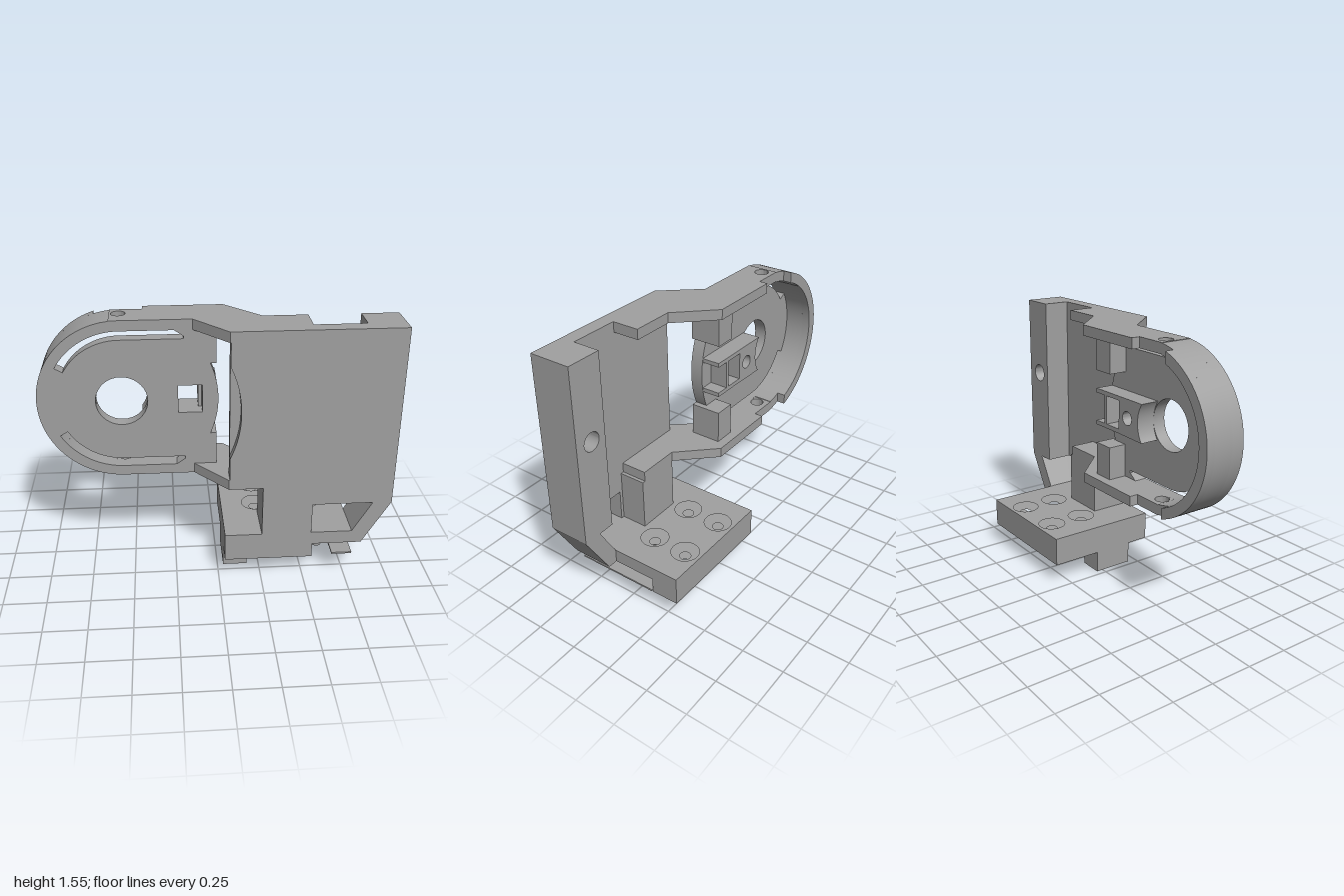
import * as THREE from 'three';
import { toCreasedNormals } from 'three/addons/utils/BufferGeometryUtils.js';

const CX = -0.53, CY = 1.08; // centre of the round head

export function createModel() {
  const model = new THREE.Group();
  const grey = new THREE.MeshStandardMaterial({ color: 0xa0a0a0 });
  grey.name = 'plain grey';

  const add = (name, geo) => {
    const mesh = new THREE.Mesh(geo, grey);
    mesh.name = name;
    model.add(mesh);
    return mesh;
  };
  const toShape = (pts) => new THREE.Shape(pts.map(([x, y]) => new THREE.Vector2(x, y)));
  const arc = (x, y, r, a0, a1, n = 40) => Array.from({ length: n + 1 }, (_, i) => {
    const a = a0 + (a1 - a0) * i / n;
    return [x + r * Math.cos(a), y + r * Math.sin(a)];
  });
  const circle = (x, y, r) => arc(x, y, r, 0, Math.PI * 2, 36).slice(0, -1);
  const extrude = (pts, depth, holes) => {
    const shape = toShape(pts);
    shape.holes = holes.map(toShape);
    return new THREE.ExtrudeGeometry(shape, { depth, bevelEnabled: false });
  };
  // outline in x,y pushed from z0 to z1
  const plate = (name, pts, z0, z1, holes = []) =>
    add(name, toCreasedNormals(extrude(pts, z1 - z0, holes).translate(0, 0, z0), 0.5));
  // outline in x,z pushed from y0 to y1
  const slab = (name, pts, y0, y1, holes = []) => {
    const flip = (list) => list.map(([x, z]) => [x, -z]);
    const geo = extrude(flip(pts), y1 - y0, holes.map(flip));
    return add(name, toCreasedNormals(geo.rotateX(-Math.PI / 2).translate(0, y0, 0), 0.5));
  };
  const box = (name, x0, x1, y0, y1, z0, z1) => add(name,
    new THREE.BoxGeometry(x1 - x0, y1 - y0, z1 - z0)
      .translate((x0 + x1) / 2, (y0 + y1) / 2, (z0 + z1) / 2));
  const rect = (x0, x1, y0, y1) => [[x0, y0], [x1, y0], [x1, y1], [x0, y1]];
  const mirrorY = (pts) => pts.map(([x, y]) => [x, 2 * CY - y]);
  const P = Math.PI;

  // round head: floor with bore, window and two curved slots
  const slot = [[-0.23, 1.49], ...arc(CX, CY, 0.41, P / 2, P * 5 / 6),
    ...arc(CX, CY, 0.36, P * 5 / 6, P / 2), [-0.18, 1.44], [-0.18, 1.455]];
  plate('headFloor', [[0, 0.61], [0, 0.865], ...arc(CX, CY, 0.54, -0.409, 0.409), [0, 1.295],
    [0, 1.55], ...arc(CX, CY, 0.47, P / 2, P * 1.5, 64)], 0.045, 0.12,
  [slot, mirrorY(slot), circle(CX, CY, 0.145), rect(-0.215, -0.08, 1.0, 1.165)]);

  // curved wall of the head, with a taller rim at the far end
  const wall = (name, x, z0, z1) => {
    const a = Math.acos((x - CX) / 0.47), b = Math.acos((x - CX) / 0.41);
    plate(name, [...arc(CX, CY, 0.47, a, 2 * P - a, 64), ...arc(CX, CY, 0.41, 2 * P - b, b, 64)], z0, z1);
  };
  wall('headWall', -0.58, -0.07, 0.045);
  wall('headRim', -0.67, -0.12, -0.07);

  // top and bottom flanges joining the head to the upright
  const flange = [[-0.58, 0.12], [-0.13, 0.12], [0.055, 0.335], [0.06, 0.335], [0.06, 0.25], [0.5, 0.25],
    [0.5, 0.09], [0.25, 0.09], [0.05, -0.12], [-0.4, -0.12], [-0.4, -0.07], [-0.58, -0.07]];
  for (const [name, y0, y1] of [['topFlange', 1.49, 1.55], ['bottomFlange', 0.61, 0.67]])
    slab(name, flange, y0, y1, [circle(CX, 0, 0.04)]);

  // inner blocks and the small channel behind the window
  box('upperBlock', -0.13, 0, 1.295, 1.49, -0.065, 0.045);
  box('lowerBlock', -0.13, 0, 0.67, 0.865, -0.065, 0.045);
  for (const y of [0.975, 1.165]) box('channelShelf', -0.22, 0, y, y + 0.025, -0.065, 0.045);
  box('channelWall', -0.1, -0.08, 1.0, 1.165, -0.065, 0.045);
  const g = Math.asin(0.095 / 0.145);
  plate('screwBlock', [[-0.215, 0.975], [-0.215, 1.19], ...arc(CX, CY, 0.145, g, -g, 16)
    .map(([x, y]) => [x, CY + (y - CY) * 0.11 / 0.095])], -0.065, 0.045, [circle(-0.29, CY, 0.04)]);

  // front wall of the upright, with a shallow arc relief in its edge
  const window4 = [[0.54, 0.3], [0.78, 0.3], [0.89, 0.49], [0.54, 0.49]];
  const outline = [[0.06, 1.55], [1, 1.55], [1, 0.49], [0.84, 0.22], [0.55, 0.22], [0.55, 0.13],
    [0.035, 0.13], [0.035, 0.3], [0.25, 0.3], [0.25, 0.61], [0.06, 0.61]];
  const t = Math.acos(0.59 / 0.65);
  plate('frontWallBack', outline, 0.25, 0.29, [window4]);
  plate('frontWallFace', [...outline, ...arc(CX, CY, 0.65, -t, t)], 0.29, 0.335, [window4]);

  // side column with a blind hole and a slanted leg
  const column = [[0.79, 1.55], [1, 1.55], [1, 0.49], [0.84, 0.22], [0.7, 0.22], [0.7, 0.3],
    [0.78, 0.3], [0.89, 0.49], [0.79, 0.49]];
  plate('sideColumn', column, 0.09, 0.25, [circle(0.89, CY, 0.055)]);
  box('post', 0.25, 0.52, 0.3, 0.61, 0.09, 0.25);

  // base with four counterbored holes
  const spots = [[0.245, -0.235], [0.245, -0.02], [0.565, -0.235], [0.565, -0.02]];
  const holes = (r, n = 4) => spots.slice(0, n).map(([x, z]) => circle(x, z, r));
  const baseTop = rect(0.035, 0.78, -0.335, 0.25);
  slab('baseTop', baseTop, 0.27, 0.3, holes(0.08));
  slab('baseMiddle', baseTop, 0.22, 0.27, holes(0.032));
  const c = Math.acos(-0.015 / 0.045);
  slab('baseBottom', [[0.035, -0.335], [0.78, -0.335], [0.78, -0.17], [0.55, -0.17],
    ...arc(0.565, -0.02, 0.045, 2 * P - c, c, 16), [0.55, 0.25], [0.035, 0.25]], 0.13, 0.22, holes(0.032, 3));
  slab('holeSleeve', circle(0.565, -0.02, 0.045), 0.13, 0.22, [circle(0.565, -0.02, 0.032)]);
  add('pin', new THREE.CylinderGeometry(0.03, 0.03, 0.09, 24).translate(0.6, 0.175, 0.2));
  box('thinStrip', 0.67, 0.79, 0.14, 0.15, -0.17, 0.335);
  box('foot', 0.035, 0.18, 0, 0.13, -0.04, 0.2);

  return model;
}
